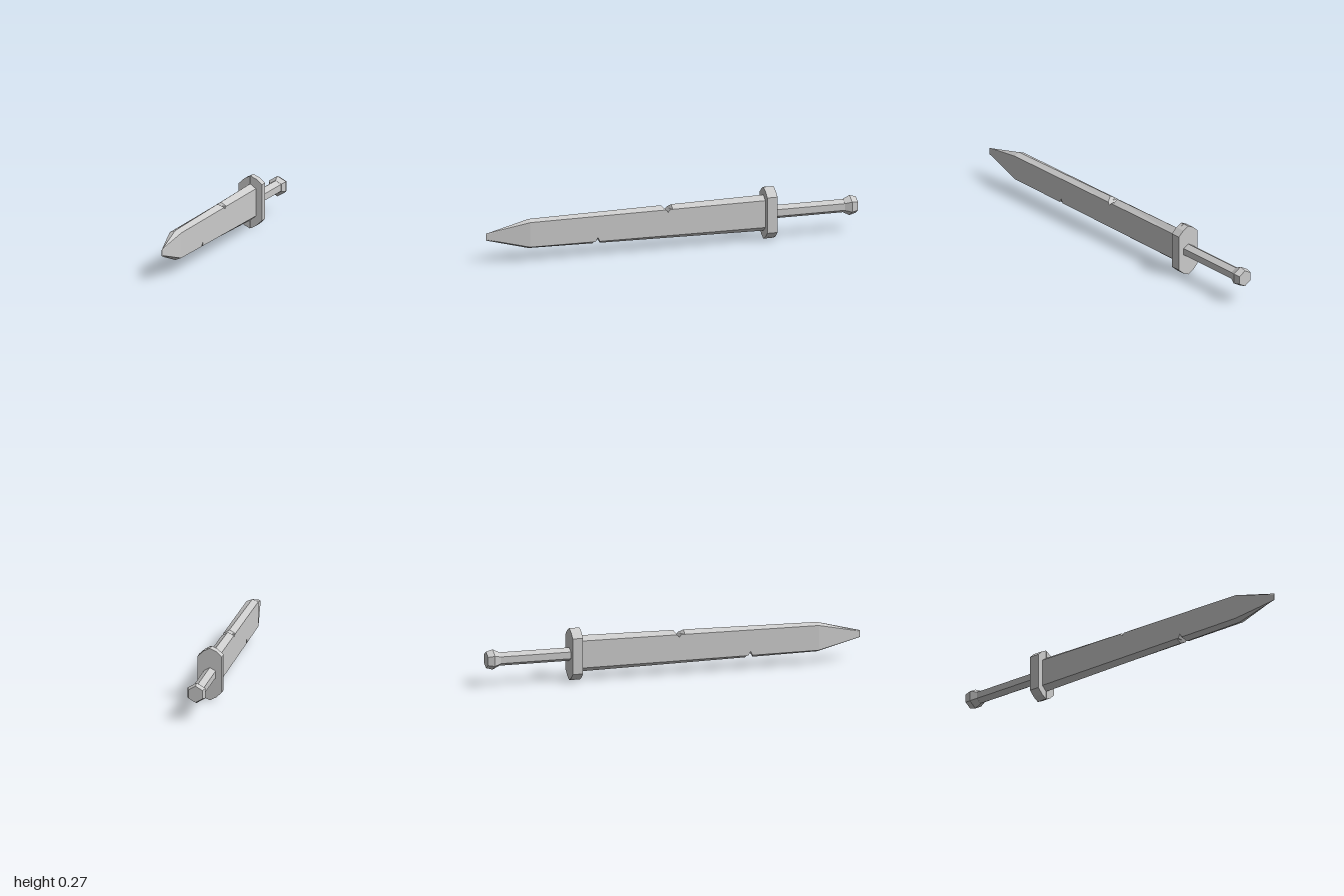
import * as THREE from 'three';

const MID = 0.139; // height of the sword's axis

// Flat-faced loft through rings at rising z; rings run counter-clockwise seen from +z
function loft(rings) {
  const pos = [];
  const tri = (a, b, c) => pos.push(...a, ...b, ...c);
  const n = rings[0].length;
  for (let r = 0; r < rings.length - 1; r++) {
    const a = rings[r], b = rings[r + 1];
    for (let i = 0; i < n; i++) {
      const j = (i + 1) % n;
      tri(a[i], a[j], b[j]);
      tri(a[i], b[j], b[i]);
    }
  }
  const back = rings[0], front = rings[rings.length - 1];
  for (let i = 1; i < n - 1; i++) {
    tri(back[0], back[i + 1], back[i]);
    tri(front[0], front[i], front[i + 1]);
  }
  const geo = new THREE.BufferGeometry();
  geo.setAttribute('position', new THREE.Float32BufferAttribute(pos, 3));
  geo.computeVertexNormals();
  return geo;
}

// Six-sided ring: ridge top and bottom, shoulders at each side
const hexRing = (z, w, top, topSide, lowSide, low) => [
  [0, top, z], [-w, topSide, z], [-w, lowSide, z],
  [0, low, z], [w, lowSide, z], [w, topSide, z],
];

// Regular hexagon with a corner at the top
const roundRing = (z, r) =>
  hexRing(z, r * 0.866, MID + r, MID + r / 2, MID - r / 2, MID - r);

// Blade ring, tapering gently forward; the caps cut the nicks in the edges
function bladeRing(z, topCap = 1, lowCap = -1) {
  const t = (z + 0.5) / 1.27;
  const ridge = 0.095 - 0.018 * t;
  const shoulder = 0.071 - 0.006 * t;
  return hexRing(z, 0.031,
    Math.min(MID + ridge, topCap), Math.min(MID + shoulder, topCap),
    Math.max(MID - shoulder, lowCap), Math.max(MID - ridge, lowCap));
}

// Half outline of the guard, from top to bottom, starting at x = inner
function guardHalf(inner) {
  return [[inner, 0.275], [0.033, 0.259], [0.063, 0.232],
    [0.063, 0.045], [0.033, 0.018], [inner, 0.002]];
}

function extrude(points, z, depth) {
  const shape = new THREE.Shape(points.map(([x, y]) => new THREE.Vector2(x, y)));
  return new THREE.ExtrudeGeometry(shape, { depth, bevelEnabled: false }).translate(0, 0, z);
}

export function createModel() {
  const sword = new THREE.Group();
  sword.name = 'sword';
  const steel = new THREE.MeshStandardMaterial({ color: 0xcccccc, flatShading: true });
  steel.name = 'grey steel';

  const add = (name, geometry, parent = sword) => {
    const mesh = new THREE.Mesh(geometry, steel);
    mesh.name = name;
    parent.add(mesh);
  };

  // Blade with one nick in the upper edge, one in the lower, and a chisel tip
  add('blade', loft([
    bladeRing(-0.52),
    bladeRing(0),
    bladeRing(0.013, 0.208),
    bladeRing(0.025, 0.194),
    bladeRing(0.036, 0.208),
    bladeRing(0.055),
    bladeRing(0.385),
    bladeRing(0.394, 1, 0.072),
    bladeRing(0.405, 1, 0.094),
    bladeRing(0.416, 1, 0.072),
    bladeRing(0.425),
    bladeRing(0.77),
    hexRing(1, 0.002, 0.157, 0.152, 0.126, 0.121),
  ]));

  // Guard: solid back plate, front split by a fine slit along the middle
  const guard = new THREE.Group();
  guard.name = 'guard';
  sword.add(guard);
  const right = guardHalf(0);
  const left = right.slice(1, -1).reverse().map(([x, y]) => [-x, y]);
  add('guardBack', extrude([...right, ...left], -0.555, 0.035), guard);
  for (const side of [-1, 1]) {
    const half = guardHalf(0.0015).map(([x, y]) => [side * x, y]);
    add(side > 0 ? 'guardFrontLeft' : 'guardFrontRight', extrude(half, -0.52, 0.02), guard);
  }

  // Hexagonal grip and flared pommel
  add('grip', loft([roundRing(-0.94, 0.035), roundRing(-0.55, 0.035)]));
  add('pommel', loft([
    roundRing(-1, 0.043), roundRing(-0.965, 0.053), roundRing(-0.93, 0.036),
  ]));

  return sword;
}
